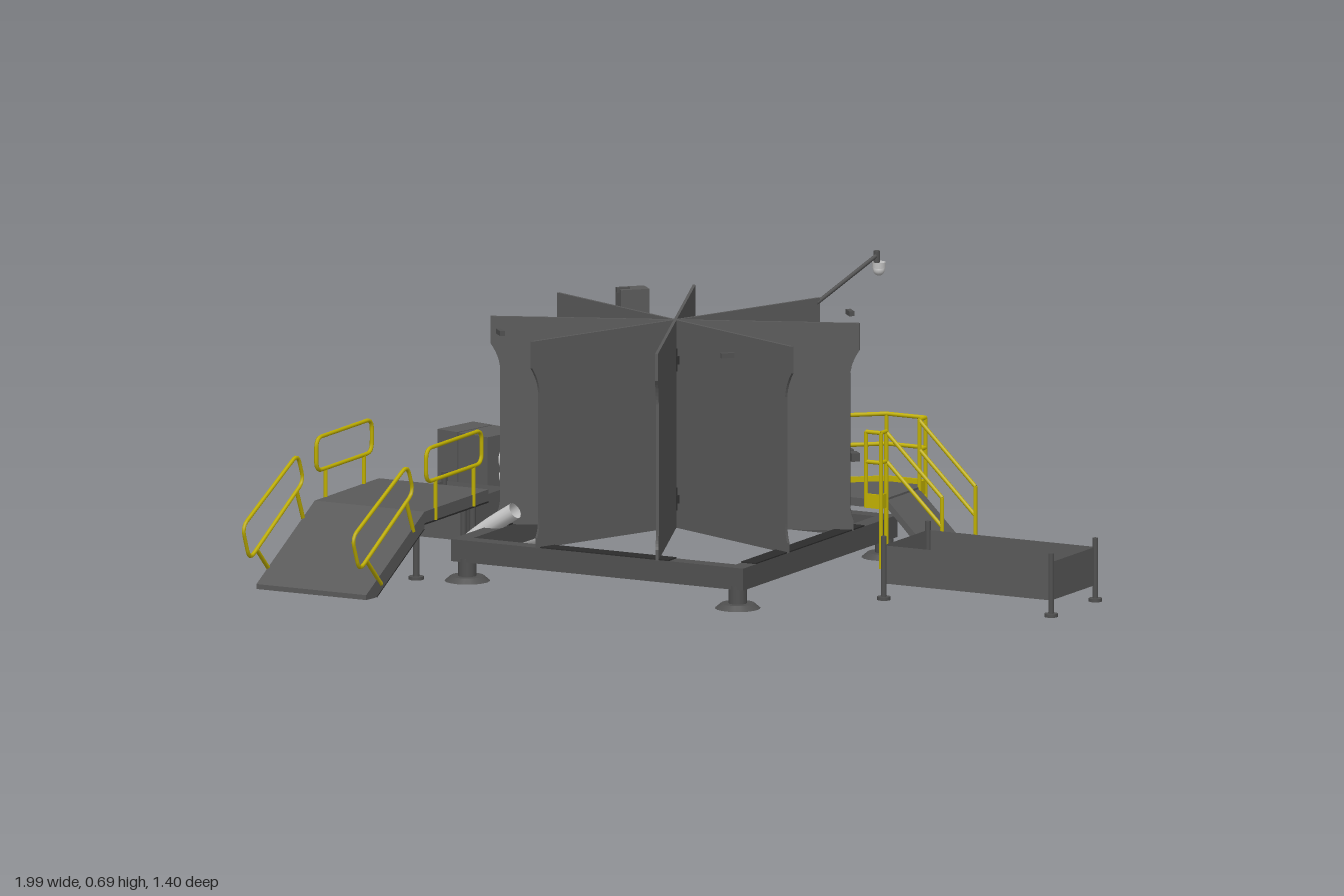
import * as THREE from 'three';

const mat = (name, color) => new THREE.MeshStandardMaterial({ name, color, side: THREE.DoubleSide });
const V = (x, y, z) => new THREE.Vector3(x, y, z);

export function createModel() {
  const root = new THREE.Group();
  root.name = 'boothInstallation';
  const panel = mat('panelGrey', 0x5a5a5a), steel = mat('steelGrey', 0x505050);
  const dark = mat('darkGrey', 0x2c2c2c), hose = mat('hoseGrey', 0xc8c8c8);
  const yellow = mat('railYellow', 0xc0b000), pale = mat('lampGrey', 0xc0c0c0);

  const add = (name, geo, material, x = 0, y = 0, z = 0, parent = root) => {
    const m = new THREE.Mesh(geo, material);
    m.name = name;
    m.position.set(x, y, z);
    parent.add(m);
    return m;
  };
  // box given by its min and max corners
  const box = (name, material, x0, x1, y0, y1, z0, z1) =>
    add(name, new THREE.BoxGeometry(x1 - x0, y1 - y0, z1 - z0), material, (x0 + x1) / 2, (y0 + y1) / 2, (z0 + z1) / 2);
  const disc = (name, material, x, y, z, r, h, sides = 20) =>
    add(name, new THREE.CylinderGeometry(r, r, h, sides), material, x, y, z);
  // straight round bar between two points
  const rod = (name, a, b, r, material) => {
    const d = b.clone().sub(a), mid = a.clone().add(b).multiplyScalar(0.5);
    const m = add(name, new THREE.CylinderGeometry(r, r, d.length(), 8), material, mid.x, mid.y, mid.z);
    m.quaternion.setFromUnitVectors(V(0, 1, 0), d.normalize());
  };
  // closed rail with rounded corners
  const railLoop = (name, pts, r = 0.005, bend = 0.025) => {
    const path = new THREE.CurvePath();
    const toward = (a, b) => a.clone().add(b.clone().sub(a).setLength(bend));
    pts.forEach((p, i) => {
      const next = pts[(i + 1) % pts.length], after = pts[(i + 2) % pts.length];
      path.add(new THREE.LineCurve3(toward(p, next), toward(next, p)));
      path.add(new THREE.QuadraticBezierCurve3(toward(next, p), next, toward(next, after)));
    });
    add(name, new THREE.TubeGeometry(path, 72, r, 6, true), yellow);
  };
  // hose skin with normals turned inward
  const pipe = (name, pts, r) => {
    const geo = new THREE.TubeGeometry(new THREE.CatmullRomCurve3(pts), 64, r, 14);
    geo.attributes.normal.array.forEach((n, i, all) => { all[i] = -n; });
    add(name, geo, hose);
  };

  // eight upright blades in a star
  const CX = -0.09, CZ = -0.08;
  const profile = new THREE.Shape();
  profile.moveTo(0, 0.1);
  profile.lineTo(0.424, 0.1);
  profile.lineTo(0.424, 0.125);
  profile.quadraticCurveTo(0.416, 0.145, 0.416, 0.17);
  profile.lineTo(0.416, 0.475);
  profile.quadraticCurveTo(0.418, 0.505, 0.439, 0.535);
  profile.lineTo(0.439, 0.6);
  profile.lineTo(0, 0.6);
  const bladeGeo = new THREE.ExtrudeGeometry(profile, { depth: 0.007, bevelEnabled: false, curveSegments: 6 });
  bladeGeo.translate(0, 0, -0.0035);
  for (let i = 0; i < 8; i++)
    add('blade', bladeGeo, panel, CX, 0, CZ).rotation.y = Math.PI / 8 + i * Math.PI / 4;
  for (const y of [0.17, 0.505]) {
    disc('hub', dark, CX, y, CZ, 0.013, 0.055, 8);
    disc('hubFlange', dark, CX, y, CZ, 0.021, 0.02, 8);
  }
  // small markers between the blade tops
  for (const sx of [-1, 1]) for (const sz of [-1, 1])
    add('marker', new THREE.BoxGeometry(0.032, 0.012, 0.012), steel, CX + sx * 0.305, 0.593, CZ + sz * 0.305)
      .rotation.y = sx * sz * Math.PI / 4;

  // square base frame with darker top strips and levelling feet
  const L = -0.465, R = 0.28, B = -0.445, F = 0.285;
  for (const z of [B, F]) box('frameBeam', steel, L - 0.02, R + 0.02, 0.047, 0.1, z - 0.02, z + 0.02);
  for (const x of [L, R]) box('frameBeam', steel, x - 0.02, x + 0.02, 0.047, 0.1, B + 0.02, F - 0.02);
  box('frameStrip', dark, -0.25, 0.1, 0.1, 0.103, F - 0.02, F + 0.02);
  box('frameStrip', dark, -0.36, 0.14, 0.1, 0.103, B - 0.02, B + 0.02);
  box('frameStrip', dark, L - 0.02, L + 0.02, 0.1, 0.103, -0.25, 0.09);
  box('frameStrip', dark, R - 0.02, R + 0.02, 0.1, 0.103, -0.3, 0.24);
  for (const x of [L + 0.013, R - 0.005]) for (const z of [B, F]) {
    disc('footPost', steel, x, 0.03, z, 0.022, 0.05, 12);
    add('footPad', new THREE.CylinderGeometry(0.04, 0.054, 0.012, 20), steel, x, 0.006, z);
  }

  // low enclosures of thin sheets on four posts
  const enclosure = (x0, x1, z0, z1) => {
    for (const z of [z0, z1])
      add('enclosureWall', new THREE.PlaneGeometry(x1 - x0, 0.092), panel, (x0 + x1) / 2, 0.085, z);
    for (const x of [x0, x1]) {
      add('enclosureWall', new THREE.PlaneGeometry(z1 - z0, 0.092), panel, x, 0.085, (z0 + z1) / 2)
        .rotation.y = Math.PI / 2;
      for (const z of [z0, z1]) {
        disc('enclosurePost', steel, x, 0.078, z, 0.007, 0.15, 10);
        disc('enclosureFoot', steel, x, 0.004, z, 0.016, 0.008, 12);
      }
    }
  };
  enclosure(0.53, 0.98, -0.19, 0.03);
  enclosure(-0.77, -0.6, -0.19, 0.03);

  // entry platform and ramp with dark undersides
  const PX0 = -0.83, PX1 = -0.535, PXM = (PX0 + PX1) / 2;
  box('entryPlatform', panel, PX0, PX1, 0.14, 0.168, 0.025, 0.345);
  box('platformUnderside', dark, PX0, PX1, 0.136, 0.14, 0.025, 0.345);
  const side = new THREE.Shape([[0.345, 0.168], [0.635, 0.016], [0.635, 0.004], [0.585, 0.002], [0.345, 0.128]]
    .map(p => new THREE.Vector2(-p[0], p[1])));
  const rampGeo = new THREE.ExtrudeGeometry(side, { depth: PX1 - PX0, bevelEnabled: false });
  add('entryRamp', rampGeo, panel, PX0, 0, 0).rotation.y = Math.PI / 2;
  add('rampUnderside', new THREE.BoxGeometry(PX1 - PX0, 0.003, 0.265), dark, PXM, 0.0645, 0.463)
    .rotation.x = Math.atan2(0.126, 0.24);
  for (const x of [PX0 + 0.03, PX1 - 0.03]) for (const z of [0.05, 0.33]) {
    disc('platformLeg', steel, x, 0.07, z, 0.008, 0.14, 10);
    disc('platformFoot', steel, x, 0.004, z, 0.018, 0.008, 12);
  }
  for (const x of [PX0, PX1]) {
    railLoop('rampRail', [V(x, 0.165, 0.705), V(x, 0.295, 0.43), V(x, 0.225, 0.4), V(x, 0.08, 0.67)]);
    rod('rampRailPost', V(x, 0.1, 0.635), V(x, 0.03, 0.56), 0.005, yellow);
    rod('rampRailPost', V(x, 0.207, 0.435), V(x, 0.13, 0.4), 0.005, yellow);
    railLoop('platformRail', [V(x, 0.317, 0.337), V(x, 0.317, 0.06), V(x, 0.237, 0.06), V(x, 0.237, 0.337)]);
    for (const z of [0.1, 0.29]) rod('platformRailPost', V(x, 0.14, z), V(x, 0.237, z), 0.005, yellow);
  }

  // service platform with a cut corner
  const deck = new THREE.Shape([[0.14, 0.31], [0.34, 0.31], [0.34, 0.53], [0.235, 0.53], [0.14, 0.45]]
    .map(p => new THREE.Vector2(...p)));
  const deckGeo = new THREE.ExtrudeGeometry(deck, { depth: 0.02, bevelEnabled: false });
  add('servicePlatform', deckGeo, panel, 0, 0.145, 0).rotation.x = -Math.PI / 2;
  // service stair as a sloping plate
  const stair = new THREE.Shape([[0.335, 0.165], [0.49, 0.012], [0.49, 0], [0.478, 0], [0.335, 0.145]]
    .map(p => new THREE.Vector2(...p)));
  add('serviceStair', new THREE.ExtrudeGeometry(stair, { depth: 0.16, bevelEnabled: false }), panel, 0, 0, -0.5);
  // stair rails
  for (const z of [-0.5, -0.335]) {
    for (const y of [0.325, 0.255]) rod('stairRail', V(0.34, y, z), V(0.49, y - 0.145, z), 0.005, yellow);
    rod('stairPost', V(0.34, 0, z), V(0.34, 0.325, z), 0.0055, yellow);
    rod('stairPost', V(0.49, 0, z), V(0.49, 0.18, z), 0.005, yellow);
  }
  // platform rails with toe boards along the edges
  const rails = [
    [[0.34, -0.5], [0.34, -0.53], [0.235, -0.53], [0.145, -0.454]],
    [[0.34, -0.335], [0.34, -0.308], [0.3, -0.308]]];
  for (const line of rails) line.forEach(([x, z], i) => {
    rod('servicePost', V(x, 0.145, z), V(x, 0.327, z), 0.005, yellow);
    if (!i) return;
    const [px, pz] = line[i - 1];
    for (const y of [0.327, 0.255]) rod('serviceRail', V(px, y, pz), V(x, y, z), 0.005, yellow);
    add('toeBoard', new THREE.BoxGeometry(Math.hypot(x - px, z - pz), 0.034, 0.005), yellow,
      (x + px) / 2, 0.161, (z + pz) / 2).rotation.y = -Math.atan2(z - pz, x - px);
  });
  for (const [x, z] of [[0.34, -0.53], [0.235, -0.53], [0.34, -0.308]])
    disc('serviceLeg', yellow, x, 0.0725, z, 0.005, 0.145, 8);
  for (let i = 0; i < 3; i++)
    add('controlBox', new THREE.BoxGeometry(0.032, 0.02, 0.02), steel, 0.178 + i * 0.033, 0.255, -0.417 + i * 0.033)
      .rotation.y = -Math.PI / 4;

  // air unit in two halves, turned on its legs
  const unit = new THREE.Group();
  unit.name = 'airUnit';
  unit.position.set(-0.906, 0, -0.622);
  unit.rotation.y = -0.235;
  root.add(unit);
  add('unitHousing', new THREE.BoxGeometry(0.092, 0.153, 0.126), panel, 0.033, 0.093, 0, unit);
  add('unitHousing', new THREE.BoxGeometry(0.062, 0.153, 0.126), panel, -0.049, 0.093, 0, unit);
  for (const x of [-0.07, -0.025, 0.02, 0.07]) for (const z of [-0.052, 0.052])
    add('unitLeg', new THREE.BoxGeometry(0.01, 0.02, 0.01), dark, x, 0.01, z, unit);

  // upright duct and the two hoses
  add('rearDuct', new THREE.BoxGeometry(0.07, 0.3, 0.045), panel, -0.38, 0.445, -0.405).rotation.y = Math.PI / 4;
  pipe('rearHose', [V(-0.83, 0.11, -0.605), V(-0.72, 0.105, -0.58), V(-0.56, 0.095, -0.53),
    V(-0.46, 0.12, -0.48), V(-0.41, 0.2, -0.44), V(-0.385, 0.31, -0.41)], 0.027);
  pipe('sideHose', [V(-0.83, 0.07, -0.6), V(-0.745, 0.06, -0.575), V(-0.725, 0.04, -0.46), V(-0.66, 0.03, -0.375),
    V(-0.53, 0.028, -0.335), V(-0.49, 0.028, -0.25), V(-0.52, 0.028, -0.09), V(-0.565, 0.028, 0.05),
    V(-0.545, 0.05, 0.115), V(-0.48, 0.1, 0.122), V(-0.41, 0.145, 0.125)], 0.02);

  // lamp arm with a hanging dome
  rod('lampArm', V(0.075, 0.587, -0.478), V(0.147, 0.68, -0.64), 0.005, steel);
  disc('lampMount', steel, 0.147, 0.677, -0.645, 0.008, 0.03, 12);
  disc('lampCollar', pale, 0.149, 0.657, -0.652, 0.016, 0.014, 16);
  add('lampDome', new THREE.SphereGeometry(0.014, 16, 10), pale, 0.149, 0.645, -0.652);
  return root;
}
